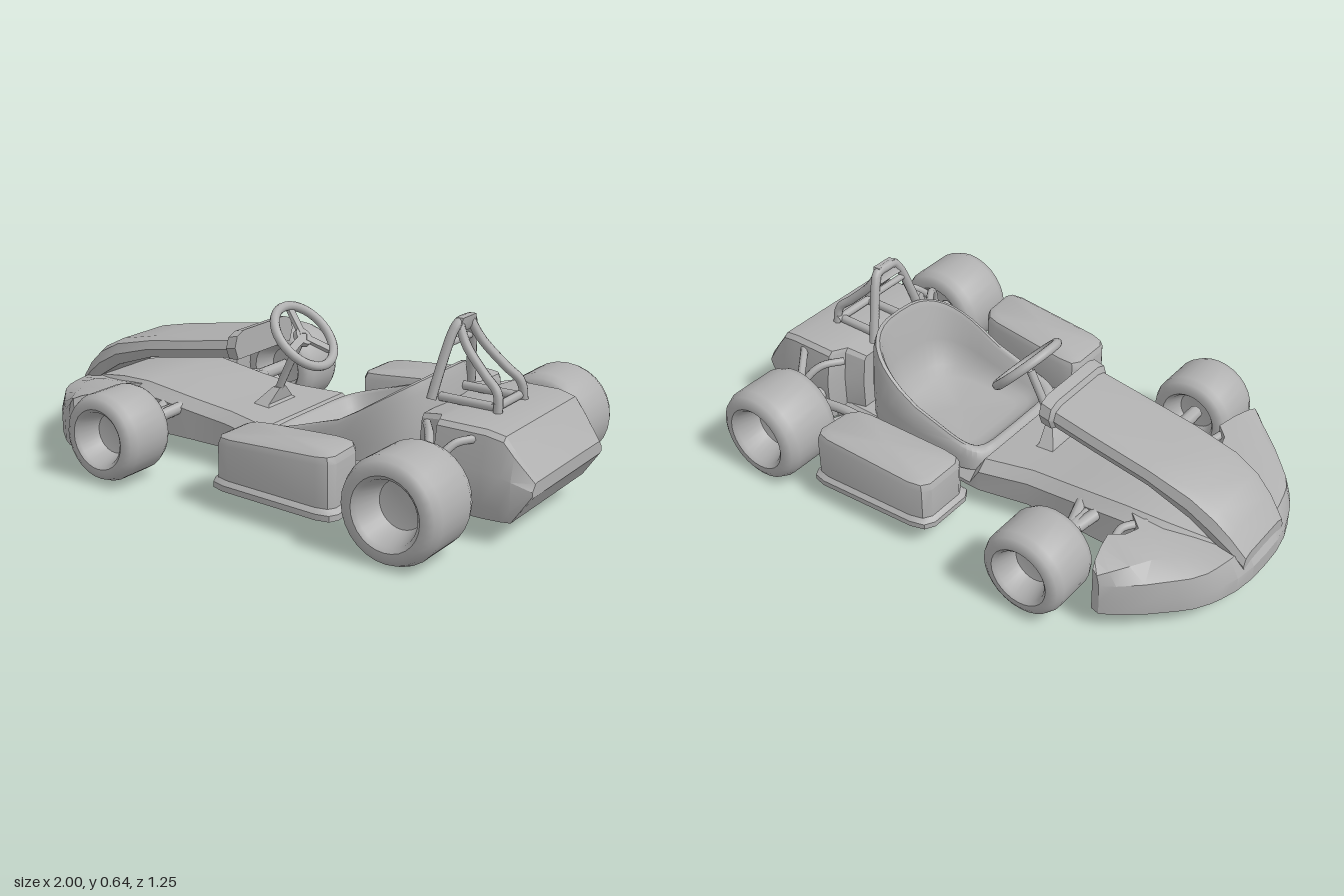
import * as THREE from 'three';
import { toCreasedNormals } from 'three/addons/utils/BufferGeometryUtils.js';

const grey = new THREE.MeshStandardMaterial({ color: 0xb0b0b0 });
grey.name = 'plain grey';
const V = (x, y, z) => new THREE.Vector3(x, y, z);

// Closed solid through rings of equal length, capped and turned outwards
function loft(rings, crease = 0.6) {
  const tris = [];
  const n = rings[0].length;
  for (let i = 0; i + 1 < rings.length; i++) {
    for (let j = 0; j < n; j++) {
      const k = (j + 1) % n, a = rings[i], b = rings[i + 1];
      tris.push([a[j], a[k], b[k]], [a[j], b[k], b[j]]);
    }
  }
  [rings[0], rings[rings.length - 1]].forEach((r, end) => {
    const c = r.reduce((s, p) => s.add(p), V(0, 0, 0)).divideScalar(n);
    for (let j = 0; j < n; j++) {
      const k = (j + 1) % n;
      tris.push(end ? [c, r[j], r[k]] : [c, r[k], r[j]]);
    }
  });
  let volume = 0;
  for (const [a, b, c] of tris) volume += a.dot(b.clone().cross(c));
  const pos = [];
  for (const t of tris) for (const p of volume < 0 ? [t[0], t[2], t[1]] : t) pos.push(p.x, p.y, p.z);
  const g = new THREE.BufferGeometry();
  g.setAttribute('position', new THREE.Float32BufferAttribute(pos, 3));
  return toCreasedNormals(g, crease);
}

// Cross-section at x, symmetric in z, from [z, y] points on one side
const section = (x, half) => [
  ...half.map(([z, y]) => V(x, y, z)),
  ...half.slice().reverse().map(([z, y]) => V(x, y, -z)),
];

function tubeGeo(points, r) {
  const curve = new THREE.CatmullRomCurve3(points.map((p) => V(...p)));
  return new THREE.TubeGeometry(curve, points.length * 6, r, 8);
}

// Wheel with a deep dished recess on both faces
function wheelGeo(R, w) {
  const profile = [
    [0, -0.15], [0.45, -0.17], [0.6, -0.44], [0.67, -0.5], [0.82, -0.5], [0.93, -0.45], [1, -0.33],
    [1, 0.33], [0.93, 0.45], [0.82, 0.5], [0.69, 0.5], [0.61, 0.45], [0.46, 0.1], [0, 0.05],
  ].map(([r, y]) => new THREE.Vector2(r * R, y * w));
  return toCreasedNormals(new THREE.LatheGeometry(profile, 28), 0.7);
}

export function createModel() {
  const model = new THREE.Group();
  model.name = 'racing kart';
  const add = (name, geo, parent = model) => {
    const m = new THREE.Mesh(geo, grey);
    m.name = name;
    parent.add(m);
    return m;
  };
  const tube = (name, pts, r) => add(name, tubeGeo(pts, r));

  // Floor and side rails: x, half width, top
  add('chassis', loft([
    [-0.9, 0.16, 0.2], [-0.72, 0.22, 0.24], [-0.58, 0.24, 0.25], [-0.35, 0.235, 0.22], [-0.2, 0.235, 0.205],
    [-0.02, 0.275, 0.195], [0.02, 0.275, 0.13], [0.45, 0.26, 0.13], [0.9, 0.25, 0.13],
  ].map(([x, w, t]) => section(x, [[w, 0.08], [w, t - 0.035], [w - 0.04, t]])), 0.5));

  // Nose wing swept across z: |z|, front x, back x, top y
  const half = [
    [0.08, -0.998, -0.55, 0.22], [0.16, -0.985, -0.55, 0.23], [0.22, -0.965, -0.62, 0.24], [0.26, -0.948, -0.665, 0.24],
    [0.31, -0.918, -0.65, 0.245], [0.35, -0.882, -0.607, 0.25], [0.42, -0.81, -0.625, 0.255],
    [0.48, -0.735, -0.645, 0.255], [0.51, -0.685, -0.658, 0.25],
  ];
  const wing = [...half.slice().reverse().map(([z, ...r]) => [-z, ...r]), [0, -1, -0.55, 0.22], ...half];
  add('noseWing', loft(wing.map(([z, f, b, t]) => {
    const d = b - f;
    return [V(f, 0.07, z), V(f, 0.125, z), V(f + d * 0.08, 0.19, z), V(f + d * 0.4, t - 0.02, z), V(b, t, z), V(b, 0.08, z)];
  }), 0.5));

  // Long cowl over the front: x, half width, bottom, top
  add('frontCowl', loft([
    [-0.985, 0.13, 0.12, 0.19], [-0.93, 0.145, 0.17, 0.26], [-0.87, 0.155, 0.21, 0.315], [-0.78, 0.16, 0.265, 0.36],
    [-0.62, 0.16, 0.32, 0.395], [-0.4, 0.158, 0.355, 0.43], [-0.25, 0.155, 0.38, 0.455],
    [-0.24, 0.17, 0.38, 0.475], [-0.2, 0.17, 0.385, 0.485],
  ].map(([x, w, b, t]) => section(x, [[w * 0.9, b], [w, b + (t - b) * 0.45], [w * 0.92, b + (t - b) * 0.85], [w * 0.7, t]])), 0.5));

  // Bucket seat: closed rings from the inner floor over the rim and down the outside
  const rimY = (x) => (x < 0.3 ? 0.19 + 0.33 * x : 0.289 + 0.66 * (x - 0.3));
  const seatRing = (s, lift) => Array.from({ length: 40 }, (_, i) => {
    const a = (i / 40) * Math.PI * 2, c = Math.cos(a), n = Math.sin(a);
    const e = c < 0 ? 0.3 : 0.72;
    const ex = Math.sign(c) * Math.abs(c) ** e, ez = Math.sign(n) * Math.abs(n) ** e;
    return V(0.285 + 0.265 * s * ex, THREE.MathUtils.lerp(0.14, rimY(0.285 + 0.265 * ex), lift), 0.23 * s * ez);
  });
  add('seat', loft([
    seatRing(0.02, 0), seatRing(0.65, 0.02), seatRing(0.8, 0.14), seatRing(0.91, 0.48), seatRing(0.98, 0.93),
    seatRing(1.01, 1), seatRing(1.06, 1), seatRing(1.1, 0.88), seatRing(1.13, 0.4), seatRing(1.13, -0.2),
  ], 0.8));

  // Rear bodywork: x, half width, bottom, middle, top
  add('rearBody', loft([
    [0.57, 0.2, 0.08, 0.24, 0.345], [0.645, 0.22, 0.08, 0.24, 0.36], [0.67, 0.285, 0.08, 0.24, 0.365],
    [0.84, 0.285, 0.08, 0.24, 0.365], [0.9, 0.278, 0.08, 0.23, 0.352], [0.935, 0.272, 0.082, 0.22, 0.305],
    [1, 0.25, 0.175, 0.195, 0.22],
  ].map(([x, w, b, m, t]) => section(x, [[w * 0.95, b], [w, b + (m - b) * 0.3], [w, m], [w * 0.93, t - (t - m) * 0.12], [w * 0.87, t]])), 0.4));

  // Roll hoop with flat top plate, crossbar and rear bar
  tube('hoop', [[0.57, 0.38, 0.13], [0.583, 0.47, 0.105], [0.603, 0.59, 0.065], [0.61, 0.618, 0.045],
    [0.61, 0.623, 0], [0.61, 0.618, -0.045], [0.603, 0.59, -0.065], [0.583, 0.47, -0.105], [0.57, 0.38, -0.13]], 0.017);
  add('hoopTopPlate', loft([
    [0.585, 0.6, 0.055], [0.6, 0.61, 0.055], [0.637, 0.615, 0.042],
  ].map(([y, x, w]) => [V(x - 0.012, y, w), V(x + 0.014, y, w), V(x + 0.014, y, -w), V(x - 0.012, y, -w)])));
  tube('hoopCrossbar', [[0.595, 0.555, 0.075], [0.595, 0.555, -0.075]], 0.012);
  tube('hoopRearBar', [[0.78, 0.38, 0.1], [0.78, 0.38, -0.1]], 0.015);

  // Steering wheel facing the driver, with spokes and column
  const steering = new THREE.Group();
  steering.name = 'steeringWheel';
  steering.position.set(-0.025, 0.465, 0);
  steering.quaternion.setFromUnitVectors(V(0, 0, 1), V(0.72, 0.69, 0).normalize());
  model.add(steering);
  add('steeringRim', new THREE.TorusGeometry(0.127, 0.017, 10, 36), steering);
  add('steeringHub', new THREE.CylinderGeometry(0.035, 0.035, 0.02, 16).rotateX(Math.PI / 2).translate(0, 0, -0.01), steering);
  for (let i = 0; i < 3; i++) {
    const a = (i * Math.PI * 2) / 3;
    add('steeringSpoke', new THREE.BoxGeometry(0.11, 0.028, 0.014).translate(0.065, 0, -0.006).rotateZ(a), steering);
  }
  tube('steeringColumn', [[-0.04, 0.445, 0], [-0.1, 0.33, 0], [-0.17, 0.18, 0]], 0.015);
  add('columnBase', loft([
    [0.18, -0.2, -0.11, 0.1], [0.21, -0.19, -0.13, 0.07], [0.26, -0.15, -0.12, 0.018],
  ].map(([y, f, b, w]) => [V(f, y, w), V(b, y, w), V(b, y, -w), V(f, y, -w)])));

  // Side pod outline, reused at several heights
  const podOutline = [[-0.02, 0.35], [0.0, 0.315], [0.06, 0.31], [0.4, 0.34], [0.45, 0.355], [0.48, 0.4],
    [0.49, 0.54], [0.475, 0.57], [0.43, 0.58], [0.05, 0.56], [0, 0.545], [-0.02, 0.51]];
  const podRing = (y, sx, sz, rise, side) => podOutline.map(([x, z]) =>
    V(0.235 + (x - 0.235) * sx, y + rise * x, side * (0.46 + (z - 0.46) * sz)));

  for (const side of [1, -1]) {
    const wheels = [['frontWheel', -0.448, 0.17, 0.51, 0.155, 0.212], ['rearWheel', 0.708, 0.179, 0.499, 0.175, 0.247]];
    for (const [name, x, y, z, R, w] of wheels) {
      const m = add(name, wheelGeo(R, w));
      m.rotation.x = (side * Math.PI) / 2;
      m.position.set(x, y, side * z);
    }
    add('sidePod', loft([[0.08, 1, 1, 0], [0.1, 1, 1, 0], [0.115, 0.94, 0.88, 0], [0.23, 0.94, 0.88, 0.06],
      [0.252, 0.91, 0.82, 0.06], [0.263, 0.82, 0.66, 0.06]].map(([y, a, b, r]) => podRing(y, a, b, r, side)), 0.6));

    const bar = (name, pts, r) => tube(name, pts.map(([x, y, z]) => [x, y, side * z]), r);
    // Front axle, its braces and the nose strut
    bar('frontAxle', [[-0.45, 0.17, 0.2], [-0.45, 0.17, 0.46]], 0.026);
    bar('frontAxleBrace', [[-0.49, 0.19, 0.2], [-0.46, 0.17, 0.31]], 0.022);
    bar('frontAxleBrace', [[-0.41, 0.19, 0.2], [-0.44, 0.17, 0.31]], 0.022);
    bar('noseStrut', [[-0.66, 0.22, 0.2], [-0.61, 0.22, 0.27], [-0.62, 0.22, 0.34]], 0.014);
    // Rear axle, curved arms and pod rail
    bar('rearAxle', [[0.71, 0.18, 0.24], [0.71, 0.18, 0.45]], 0.026);
    bar('rearUpperArm', [[0.62, 0.34, 0.24], [0.67, 0.335, 0.31], [0.7, 0.29, 0.36], [0.71, 0.2, 0.38]], 0.014);
    bar('rearUpperArm', [[0.8, 0.33, 0.26], [0.76, 0.32, 0.31], [0.73, 0.27, 0.36], [0.71, 0.2, 0.39]], 0.014);
    bar('rearLowerArm', [[0.6, 0.1, 0.24], [0.66, 0.095, 0.33], [0.71, 0.15, 0.385]], 0.014);
    bar('rearLowerArm', [[0.8, 0.1, 0.26], [0.76, 0.1, 0.33], [0.71, 0.15, 0.385]], 0.014);
    bar('podRail', [[0.36, 0.13, 0.25], [0.4, 0.17, 0.315], [0.52, 0.2, 0.325], [0.66, 0.19, 0.33]], 0.018);
    bar('podMount', [[0.5, 0.11, 0.22], [0.46, 0.11, 0.3], [0.42, 0.11, 0.38]], 0.018);
    // Hoop rear brace and its foot bar
    bar('hoopBrace', [[0.61, 0.618, 0.035], [0.65, 0.55, 0.05], [0.73, 0.47, 0.068], [0.78, 0.425, 0.08], [0.79, 0.35, 0.09]], 0.016);
    bar('hoopFootBar', [[0.57, 0.375, 0.075], [0.78, 0.375, 0.075]], 0.016);
  }
  return model;
}
